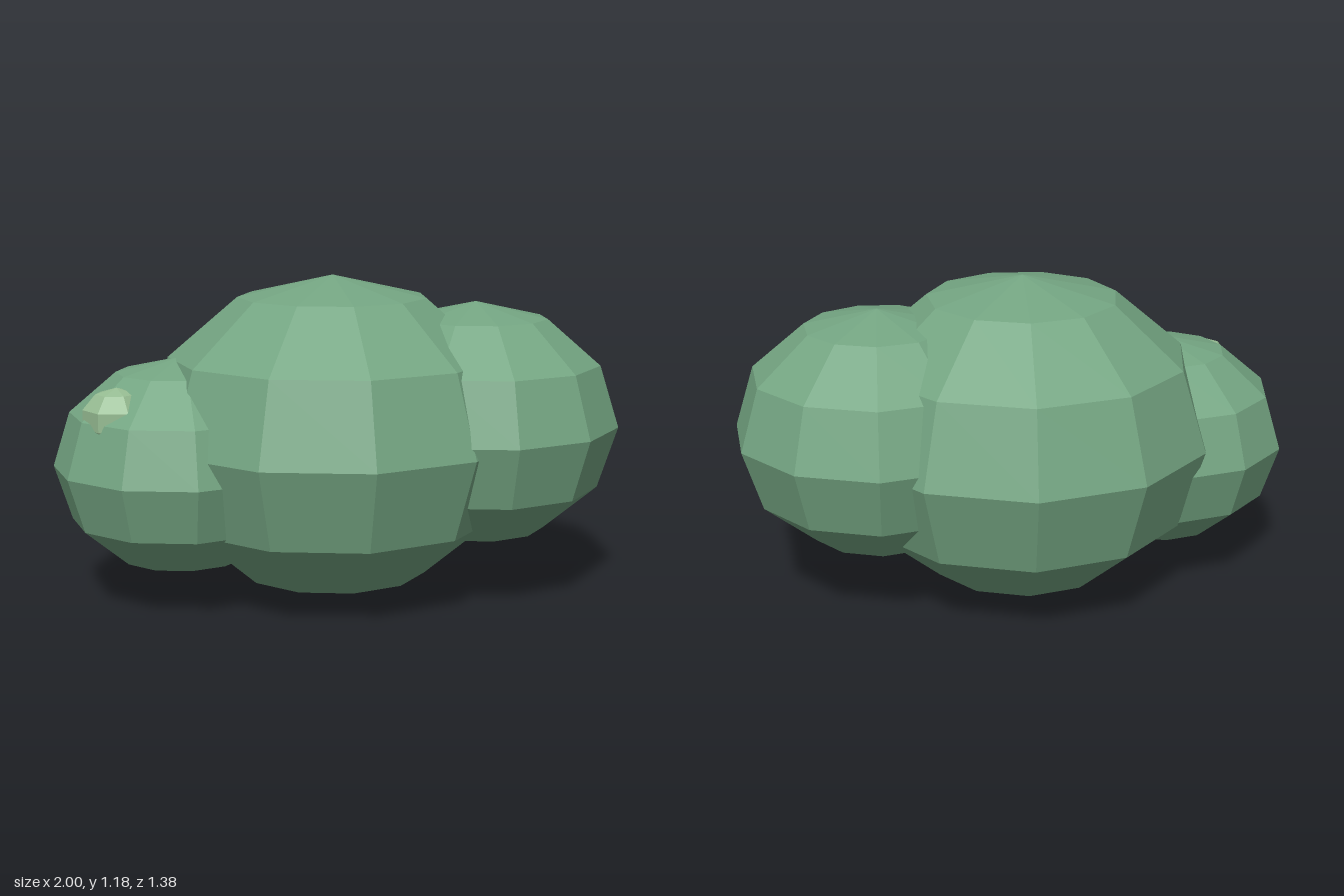
import * as THREE from 'three';

const SQUASH = 0.85; // every clump is a slightly flattened sphere

export function createModel() {
  const group = new THREE.Group();
  group.name = 'bush';

  const leaf = new THREE.MeshStandardMaterial({ color: 0x74a582, flatShading: true });
  const bud = new THREE.MeshStandardMaterial({ color: 0x97bd93, flatShading: true });

  // Low-poly clump with one column of vertices pointing to +x
  function addClump(name, radius, position, material, sides = 11, rows = 6) {
    const geometry = new THREE.SphereGeometry(radius, sides, rows);
    geometry.rotateY(Math.PI);
    geometry.scale(1, SQUASH, 1);
    const mesh = new THREE.Mesh(geometry, material);
    mesh.name = name;
    mesh.position.set(...position);
    group.add(mesh);
  }

  // Three overlapping masses of foliage
  addClump('mainFoliage', 0.697, [-0.04, 0.593, 0], leaf);
  addClump('leftFoliage', 0.531, [0.469, 0.635, -0.13], leaf);
  addClump('rightFoliage', 0.465, [-0.554, 0.505, 0.225], leaf);

  // Small pale bud half sunk into the right clump
  addClump('bud', 0.127, [-0.711, 0.712, 0.462], bud, 7, 5);

  return group;
}
